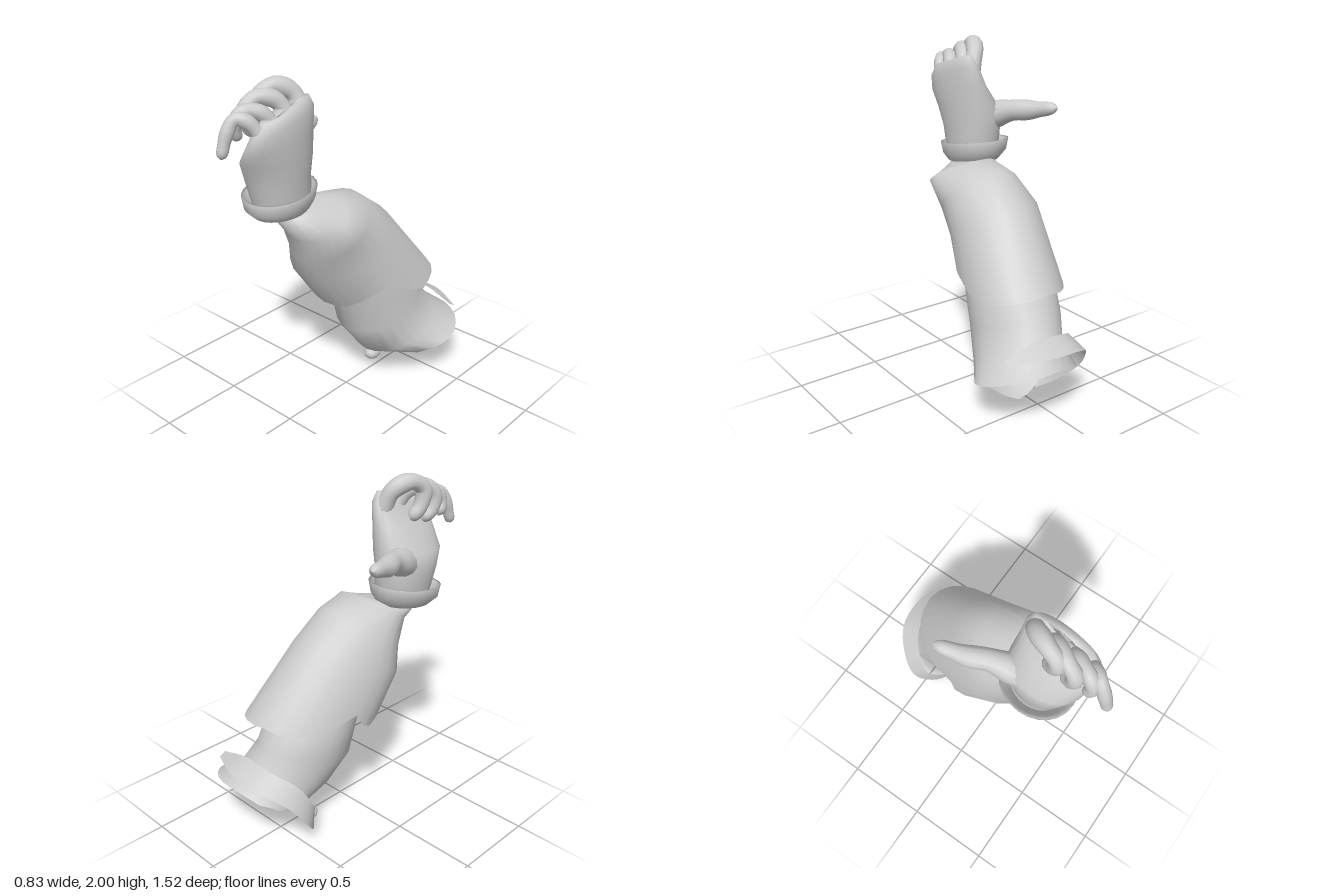
import * as THREE from 'three';

const SIDES = 24;

// Skin a list of closed rings (each an array of Vector3, ordered the same way)
function skin(rings) {
  const n = rings[0].length;
  const pos = [];
  const index = [];
  rings.forEach((ring) => ring.forEach((p) => pos.push(p.x, p.y, p.z)));
  for (let r = 0; r < rings.length - 1; r++) {
    for (let i = 0; i < n; i++) {
      const a = r * n + i;
      const b = r * n + ((i + 1) % n);
      index.push(a, a + n, b, b, a + n, b + n);
    }
  }
  const geo = new THREE.BufferGeometry();
  geo.setAttribute('position', new THREE.Float32BufferAttribute(pos, 3));
  geo.setIndex(index);
  geo.computeVertexNormals();
  return geo;
}

// Rings from top to bottom: [frontY, frontZ, backY, backZ, centreX, halfWidth, skew].
// skew moves the right side forward and the left side back. The hem lists raise
// the last ring along hemDir, step by step from front to back on each side.
function loft(sections, { square = 1, hemLeft = null, hemRight = null, hemDir = [1, 0] } = {}) {
  const soft = (v) => Math.sign(v) * Math.pow(Math.abs(v), square);
  return skin(sections.map(([fy, fz, by, bz, cx, w, skew = 0], s) => {
    const ring = [];
    for (let i = 0; i < SIDES; i++) {
      const a = (i / SIDES) * Math.PI * 2;
      const c = soft(Math.cos(a));
      const side = soft(Math.sin(a));
      const p = new THREE.Vector3(
        cx + side * w,
        (fy + by) / 2 + (c * (fy - by)) / 2,
        (fz + bz) / 2 + (c * (fz - bz)) / 2 - side * skew
      );
      if (hemLeft && s === sections.length - 1) {
        const lift = i <= SIDES / 2 ? hemLeft[i] : hemRight[SIDES - i];
        p.y += lift * hemDir[0];
        p.z += lift * hemDir[1];
      }
      ring.push(p);
    }
    return ring;
  }));
}

// Round-ended tapering digit along a curve
function digit(points, r0, r1) {
  const curve = new THREE.CatmullRomCurve3(points.map((p) => new THREE.Vector3(...p)));
  const steps = 28;
  const frames = curve.computeFrenetFrames(steps, false);
  const rings = [];
  for (let s = 0; s <= steps; s++) {
    const t = s / steps;
    const end = Math.max(0, (t - 0.86) / 0.14);
    const joint = 1 + 0.06 * Math.cos(t * Math.PI * 6);
    const r = (r0 + (r1 - r0) * t) * joint * Math.sqrt(Math.max(0.0004, 1 - end * end));
    const centre = curve.getPointAt(t);
    const ring = [];
    for (let i = 0; i < 12; i++) {
      const a = (-i / 12) * Math.PI * 2;
      ring.push(centre.clone()
        .addScaledVector(frames.normals[s], Math.cos(a) * r)
        .addScaledVector(frames.binormals[s], Math.sin(a) * r));
    }
    rings.push(ring);
  }
  return skin(rings);
}

// Flat band: each entry is a centre followed by half of the width vector
function band(entries) {
  const curveOf = (sign) => new THREE.CatmullRomCurve3(entries.map(([x, y, z, dx, dy, dz]) =>
    new THREE.Vector3(x + sign * dx, y + sign * dy, z + sign * dz)));
  const a = curveOf(1).getPoints(32);
  const b = curveOf(-1).getPoints(32);
  const pos = [];
  const index = [];
  a.forEach((p, i) => {
    pos.push(p.x, p.y, p.z, b[i].x, b[i].y, b[i].z);
    if (i) {
      const k = i * 2;
      index.push(k - 2, k - 1, k, k, k - 1, k + 1);
    }
  });
  const geo = new THREE.BufferGeometry();
  geo.setAttribute('position', new THREE.Float32BufferAttribute(pos, 3));
  geo.setIndex(index);
  geo.computeVertexNormals();
  return geo;
}

export function createModel() {
  const model = new THREE.Group();
  model.name = 'armouredForearm';
  const grey = new THREE.MeshStandardMaterial({ color: 0xcccccc, side: THREE.DoubleSide });
  grey.name = 'light grey';

  const add = (name, geo, parent = model) => {
    const mesh = new THREE.Mesh(geo, grey);
    mesh.name = name;
    parent.add(mesh);
    return mesh;
  };

  // Outer forearm plate with a notched lower hem
  add('forearmPlate', loft([
    [1.25, 0.38, 1.27, 0.28, -0.15, 0.05],
    [1.24, 0.43, 1.28, 0.20, -0.13, 0.14],
    [1.12, 0.38, 1.31, 0.11, -0.02, 0.23],
    [0.95, 0.31, 1.28, -0.085, -0.035, 0.25, 0.02],
    [0.82, 0.27, 1.13, -0.29, -0.05, 0.285, 0.05],
    [0.6, 0.1, 0.72, -0.6, -0.005, 0.315, 0.1],
  ], {
    square: 1.08,
    hemLeft: [0, 0, 0.05, 0.11, 0.14, 0.04, -0.02, 0, 0, 0, 0, 0, 0],
    hemRight: [0, 0, 0.02, 0.1, 0.03, 0, 0.02, 0.1, 0.03, -0.03, -0.03, -0.02, 0],
    hemDir: [0.79, 0.61],
  }));

  // Lower sleeve, flaring to an open end with a projecting lip
  add('lowerSleeve', loft([
    [0.8, 0.14, 0.95, -0.32, 0, 0.2],
    [0.6, 0.04, 0.72, -0.5, 0, 0.255],
    [0.4, 0.0, 0.56, -0.58, 0.01, 0.25],
    [0.22, -0.12, 0.43, -0.66, 0.065, 0.25],
    [0.065, -0.48, 0.35, -0.76, 0.125, 0.295],
  ], {
    square: 1.06,
    hemLeft: [0, 0.05, 0.13, 0.18, 0.17, 0.15, 0.12, 0.09, 0.06, 0.03, 0.01, 0, 0],
    hemRight: [0, 0.01, 0.04, 0.09, 0.1, 0.08, 0.06, 0.04, 0.02, 0, 0, 0, 0],
    hemDir: [0.5, 0.86],
  }));

  // Loose strap around the open end, with its fastener
  add('strap', band([
    [0.34, 0.42, -0.64, 0, 0.01, 0.02],
    [0.12, 0.46, -0.69, 0, 0.03, 0.06],
    [-0.08, 0.44, -0.68, 0.01, 0.03, 0.06],
    [-0.22, 0.35, -0.58, 0.02, 0.04, 0.05],
    [-0.26, 0.21, -0.49, 0.025, 0.04, 0.04],
    [-0.18, 0.1, -0.4, 0.03, 0.04, 0.03],
    [-0.06, 0.045, -0.33, 0.02, 0.035, 0.03],
  ]));
  const fastener = add('strapFastener', new THREE.SphereGeometry(1, 12, 8));
  fastener.scale.set(0.05, 0.045, 0.06);
  fastener.position.set(-0.06, 0.045, -0.33);

  // Flared wrist cuff with an inner wall
  add('wristCuff', loft([
    [1.25, 0.5, 1.28, 0.19, -0.17, 0.13],
    [1.345, 0.55, 1.395, 0.15, -0.175, 0.18],
    [1.345, 0.57, 1.4, 0.13, -0.175, 0.2],
    [1.28, 0.56, 1.33, 0.14, -0.175, 0.185],
    [1.24, 0.52, 1.27, 0.18, -0.165, 0.145],
    [1.24, 0.44, 1.26, 0.24, -0.15, 0.1],
  ]));

  // Hand
  const hand = new THREE.Group();
  hand.name = 'hand';
  model.add(hand);
  add('palm', loft([
    [1.82, 0.46, 1.89, 0.3, -0.06, 0.01],
    [1.81, 0.57, 1.9, 0.23, -0.06, 0.05],
    [1.74, 0.62, 1.84, 0.19, -0.07, 0.08],
    [1.65, 0.635, 1.73, 0.18, -0.1, 0.11],
    [1.56, 0.6, 1.58, 0.16, -0.155, 0.16],
    [1.45, 0.56, 1.47, 0.17, -0.165, 0.155],
    [1.36, 0.54, 1.38, 0.17, -0.16, 0.145],
    [1.24, 0.5, 1.26, 0.2, -0.16, 0.13],
  ], { square: 0.95 }), hand);

  add('thumb', digit([
    [-0.2, 1.46, 0.38], [-0.25, 1.54, 0.22], [-0.285, 1.575, 0.11],
    [-0.33, 1.585, 0.02], [-0.36, 1.6, -0.07], [-0.39, 1.62, -0.165],
  ], 0.095, 0.036), hand);

  // Curled fingers
  const fingers = {
    indexFinger: [[-0.08, 1.8, 0.25], [-0.13, 1.91, 0.28], [-0.18, 1.95, 0.37], [-0.2, 1.9, 0.45], [-0.2, 1.8, 0.43], [-0.17, 1.73, 0.37]],
    middleFinger: [[-0.08, 1.78, 0.34], [-0.13, 1.89, 0.4], [-0.18, 1.91, 0.49], [-0.2, 1.85, 0.55], [-0.2, 1.76, 0.53], [-0.17, 1.71, 0.47]],
    ringFinger: [[-0.07, 1.75, 0.44], [-0.12, 1.85, 0.52], [-0.16, 1.86, 0.6], [-0.18, 1.79, 0.64], [-0.19, 1.71, 0.61]],
    littleFinger: [[-0.06, 1.72, 0.55], [-0.11, 1.82, 0.61], [-0.15, 1.84, 0.66], [-0.17, 1.77, 0.7], [-0.18, 1.64, 0.74]],
  };
  Object.entries(fingers).forEach(([name, path], i) =>
    add(name, digit(path, 0.053 - i * 0.004, 0.042 - i * 0.003), hand));

  return model;
}
